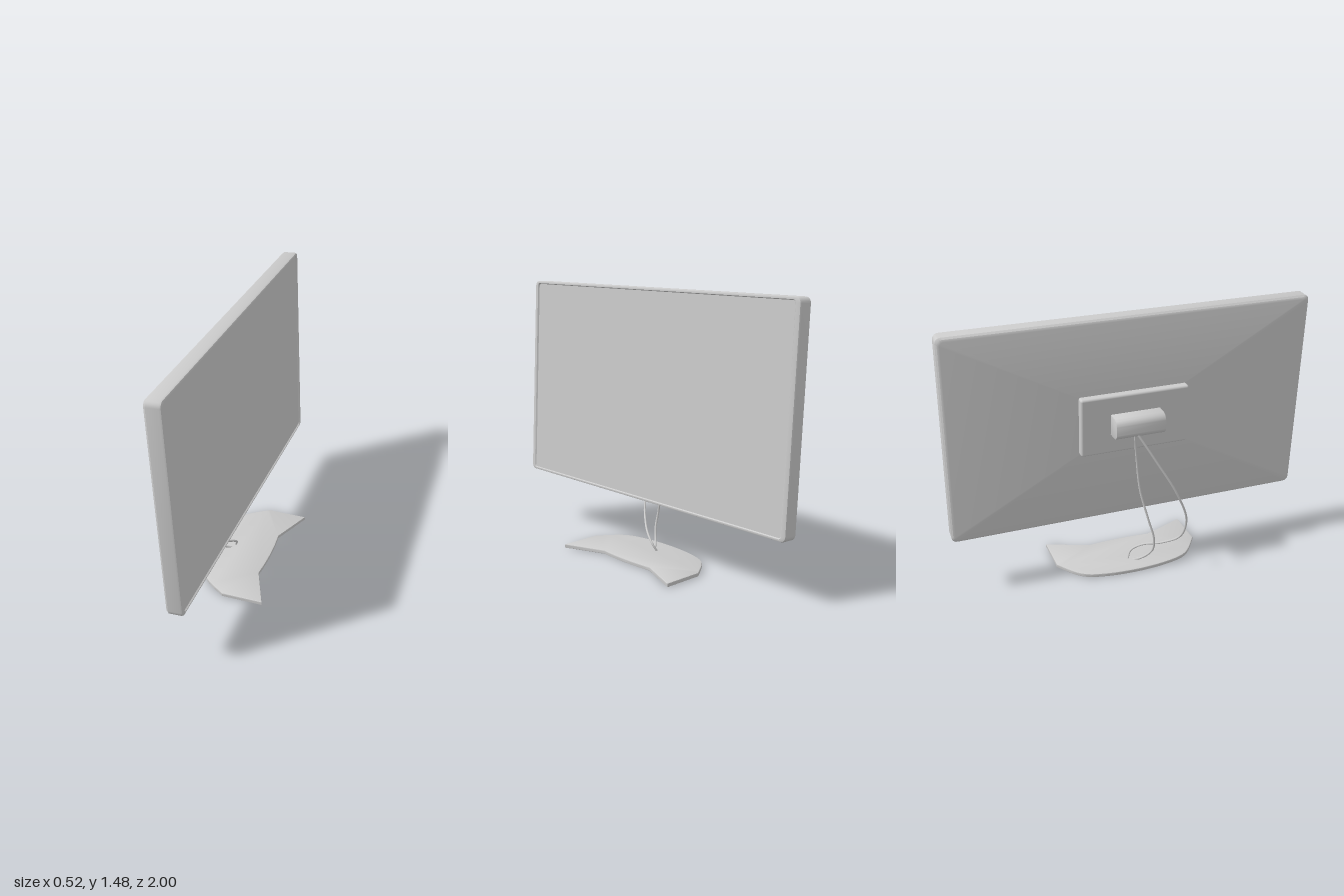
import * as THREE from 'three';
import { toCreasedNormals } from 'three/addons/utils/BufferGeometryUtils.js';
import { RoundedBoxGeometry } from 'three/addons/geometries/RoundedBoxGeometry.js';

const material = new THREE.MeshStandardMaterial({ color: 0xcccccc });

function addMesh(parent, name, geometry, x = 0, y = 0, z = 0) {
  const mesh = new THREE.Mesh(geometry, material);
  mesh.name = name;
  mesh.position.set(x, y, z);
  parent.add(mesh);
  return mesh;
}

// Lofts rounded rectangles along x; each ring is [x, halfHeight, halfWidth, cornerRadius].
function loftRoundedRects(rings, steps = 5) {
  const positions = [];
  const indices = [];
  const count = 4 * (steps + 1);
  for (const [x, h, w, r] of rings) {
    for (let corner = 0; corner < 4; corner++) {
      const sy = corner === 0 || corner === 3 ? 1 : -1;
      const sz = corner < 2 ? 1 : -1;
      for (let s = 0; s <= steps; s++) {
        const t = (corner + s / steps) * Math.PI / 2;
        positions.push(x, sy * (h - r) + r * Math.cos(t), sz * (w - r) + r * Math.sin(t));
      }
    }
  }
  for (let i = 0; i < rings.length - 1; i++) {
    for (let j = 0; j < count; j++) {
      const k = (j + 1) % count;
      const a = i * count + j, b = i * count + k;
      indices.push(a, b, b + count, a, b + count, a + count);
    }
  }
  const geometry = new THREE.BufferGeometry();
  geometry.setAttribute('position', new THREE.Float32BufferAttribute(positions, 3));
  geometry.setIndex(indices);
  return toCreasedNormals(geometry, 0.6);
}

function cable(points) {
  const curve = new THREE.CatmullRomCurve3(points.map((p) => new THREE.Vector3(...p)));
  return new THREE.TubeGeometry(curve, 80, 0.006, 10);
}

export function createModel() {
  const model = new THREE.Group();
  model.name = 'monitor';

  // Tilted display, facing +x
  const display = new THREE.Group();
  display.name = 'display';
  display.position.set(-0.025, 0.905, 0);
  display.rotation.z = 0.052;
  model.add(display);

  // Casing with a raised bezel around the recessed screen
  const H = 0.579, W = 1;
  addMesh(display, 'screenCasing', loftRoundedRects([
    [-0.045, 0, 0, 0],
    [-0.045, H - 0.02, W - 0.02, 0.02],
    [-0.041, H - 0.008, W - 0.008, 0.027],
    [-0.03, H, W, 0.03],
    [0.034, H, W, 0.03],
    [0.042, H - 0.003, W - 0.004, 0.027],
    [0.045, H - 0.009, W - 0.012, 0.022],
    [0.045, H - 0.014, W - 0.028, 0.015],
    [0.038, H - 0.018, W - 0.035, 0.012],
    [0.038, 0, 0, 0],
  ]));

  addMesh(display, 'mountPlate', new RoundedBoxGeometry(0.05, 0.33, 0.6, 3, 0.012), -0.063, 0.005, 0);

  // Rounded hinge block behind the plate
  const profile = new THREE.Shape();
  profile.moveTo(-0.09, 0.853);
  profile.lineTo(-0.155, 0.853);
  profile.bezierCurveTo(-0.185, 0.853, -0.201, 0.867, -0.201, 0.89);
  profile.lineTo(-0.201, 0.922);
  profile.bezierCurveTo(-0.201, 0.945, -0.185, 0.961, -0.16, 0.962);
  profile.lineTo(-0.09, 0.964);
  const hinge = new THREE.ExtrudeGeometry(profile, {
    depth: 0.268, curveSegments: 10, bevelSize: 0.004, bevelThickness: 0.004, bevelSegments: 2,
  });
  addMesh(model, 'hinge', toCreasedNormals(hinge, 0.6), 0, 0, -0.134);

  // Two loose cables running from the hinge to the base
  addMesh(model, 'outerCable', cable([
    [-0.185, 0.89, -0.03], [-0.225, 0.7, 0.08], [-0.255, 0.5, 0.19], [-0.246, 0.33, 0.25],
    [-0.2, 0.2, 0.235], [-0.13, 0.135, 0.155], [-0.06, 0.1, 0.06], [-0.037, 0.06, 0], [-0.055, 0.012, -0.025],
  ]));
  addMesh(model, 'innerCable', cable([
    [-0.155, 0.87, -0.02], [-0.128, 0.7, 0], [-0.133, 0.5, 0.02], [-0.16, 0.32, 0.06],
    [-0.17, 0.2, 0.09], [-0.148, 0.11, 0.09], [-0.1, 0.04, 0.04], [-0.055, 0.012, 0],
  ]));

  // Flat base: bowed back edge, notched front edge with two pointed feet
  const outline = new THREE.Shape();
  outline.moveTo(0.25, -0.415);
  outline.lineTo(0.155, -0.185);
  outline.quadraticCurveTo(0.175, 0, 0.155, 0.185);
  outline.lineTo(0.25, 0.415);
  outline.lineTo(0.03, 0.415);
  outline.splineThru([[-0.1, 0.315], [-0.148, 0.19], [-0.165, 0], [-0.148, -0.19], [-0.1, -0.315], [0.03, -0.415]]
    .map(([x, z]) => new THREE.Vector2(x, z)));
  const base = new THREE.ExtrudeGeometry(outline, {
    depth: 0.01, curveSegments: 8, bevelSize: 0.005, bevelThickness: 0.006, bevelSegments: 2,
  });
  base.rotateX(-Math.PI / 2);
  addMesh(model, 'base', toCreasedNormals(base, 0.6), 0, 0.006, 0);

  return model;
}
